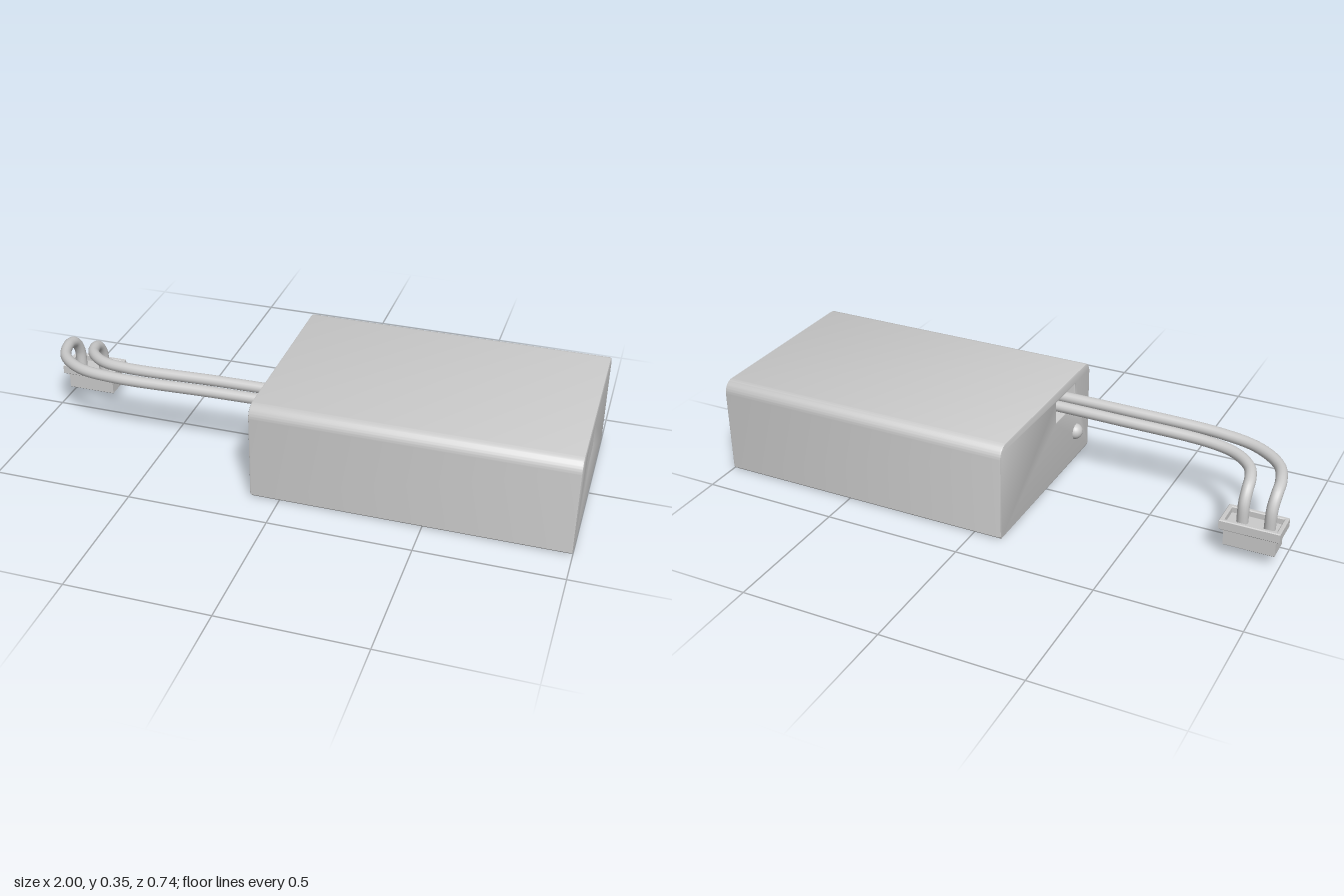
import * as THREE from 'three';
import { toCreasedNormals } from 'three/addons/utils/BufferGeometryUtils.js';

const material = new THREE.MeshStandardMaterial({ color: 0xcccccc });

function add(parent, name, geometry, x = 0, y = 0, z = 0) {
  const mesh = new THREE.Mesh(geometry, material);
  mesh.name = name;
  mesh.position.set(x, y, z);
  parent.add(mesh);
  return mesh;
}

// Rectangle outline, usable as shape or hole
function rect(target, x0, y0, x1, y1) {
  target.moveTo(x0, y0);
  target.lineTo(x1, y0);
  target.lineTo(x1, y1);
  target.lineTo(x0, y1);
  target.closePath();
  return target;
}

// Upright rectangular collar, open at top and bottom, centred on x and z
function collar(w, d, h, wall) {
  const shape = rect(new THREE.Shape(), -w / 2, -d / 2, w / 2, d / 2);
  const iw = w / 2 - wall, id = d / 2 - wall;
  shape.holes.push(rect(new THREE.Path(), -iw, -id, iw, id));
  const bevel = 0.003;
  return new THREE.ExtrudeGeometry(shape, {
    depth: h - 2 * bevel, bevelThickness: bevel, bevelSize: bevel, bevelOffset: -bevel, bevelSegments: 1,
  }).translate(0, 0, bevel).rotateX(-Math.PI / 2);
}

function createCase() {
  const group = new THREE.Group();
  group.name = 'case';
  const x0 = -0.105, x1 = 1, w = 0.37, h = 0.355, r = 0.045, c = 0.008, bevel = 0.006;
  const slot = { z0: 0.075, z1: 0.235, y0: 0.235, y1: 0.315 };

  // End profile: rounded top corners, small bottom chamfers (shape x becomes -z)
  const s = new THREE.Shape();
  s.moveTo(-w + c, 0);
  s.lineTo(w - c, 0);
  s.lineTo(w, c);
  s.lineTo(w, h - r);
  s.absarc(w - r, h - r, r, 0, Math.PI / 2);
  s.lineTo(-w + r, h);
  s.absarc(-w + r, h - r, r, Math.PI / 2, Math.PI);
  s.lineTo(-w, c);
  s.closePath();
  s.holes.push(rect(new THREE.Path(), -slot.z1, slot.y0, -slot.z0, slot.y1));
  const shell = new THREE.ExtrudeGeometry(s, {
    depth: x1 - x0 - 2 * bevel, bevelThickness: bevel, bevelSize: bevel, bevelOffset: -bevel,
    bevelSegments: 2, curveSegments: 8,
  }).translate(0, 0, x0 + bevel).rotateY(Math.PI / 2);
  add(group, 'shell', toCreasedNormals(shell, 0.6));

  // Filler behind the cable slot leaves a shallow opening
  const start = -0.04, m = 0.016;
  add(group, 'slotBackWall',
    new THREE.BoxGeometry(x1 - start, slot.y1 - slot.y0 + m, slot.z1 - slot.z0 + m),
    (start + x1) / 2, (slot.y0 + slot.y1) / 2, (slot.z0 + slot.z1) / 2);

  // Domed indicator light
  add(group, 'indicatorLight', new THREE.SphereGeometry(0.03, 24, 16), x0 + 0.004, 0.115, 0.25);
  return group;
}

function createConnector() {
  const group = new THREE.Group();
  group.name = 'connector';
  group.position.set(-0.895, 0, -0.092);
  add(group, 'flange', collar(0.208, 0.114, 0.036, 0.015), 0, 0.11, 0);
  add(group, 'socket', collar(0.178, 0.084, 0.068, 0.01), 0, 0.045, 0);
  add(group, 'floor', new THREE.BoxGeometry(0.186, 0.022, 0.092), 0, 0.112, 0);
  for (const x of [-0.05, 0.04]) {
    add(group, 'pin', new THREE.CylinderGeometry(0.011, 0.011, 0.055, 16), x, 0.073, 0);
    add(group, 'pinTip', new THREE.SphereGeometry(0.011, 16, 10), x, 0.0465, 0);
  }
  return group;
}

// Cable from the case slot, bending back and then down into the connector
function createWire(name, points) {
  const curve = new THREE.CatmullRomCurve3(points.map((p) => new THREE.Vector3(...p)));
  const mesh = new THREE.Mesh(new THREE.TubeGeometry(curve, 120, 0.02, 16), material);
  mesh.name = name;
  return mesh;
}

export function createModel() {
  const model = new THREE.Group();
  model.name = 'batteryPack';
  model.add(createCase(), createConnector());
  model.add(createWire('outerWire', [
    [-0.03, 0.281, 0.19], [-0.3, 0.279, 0.192], [-0.67, 0.272, 0.192], [-0.82, 0.267, 0.16],
    [-0.915, 0.262, 0.085], [-0.95, 0.257, -0.01], [-0.953, 0.24, -0.06],
    [-0.95, 0.195, -0.088], [-0.948, 0.105, -0.09],
  ]));
  model.add(createWire('innerWire', [
    [-0.03, 0.281, 0.115], [-0.3, 0.279, 0.115], [-0.66, 0.272, 0.115], [-0.765, 0.267, 0.088],
    [-0.83, 0.261, 0.03], [-0.852, 0.252, -0.03], [-0.855, 0.237, -0.062],
    [-0.855, 0.195, -0.088], [-0.855, 0.105, -0.09],
  ]));
  return model;
}
